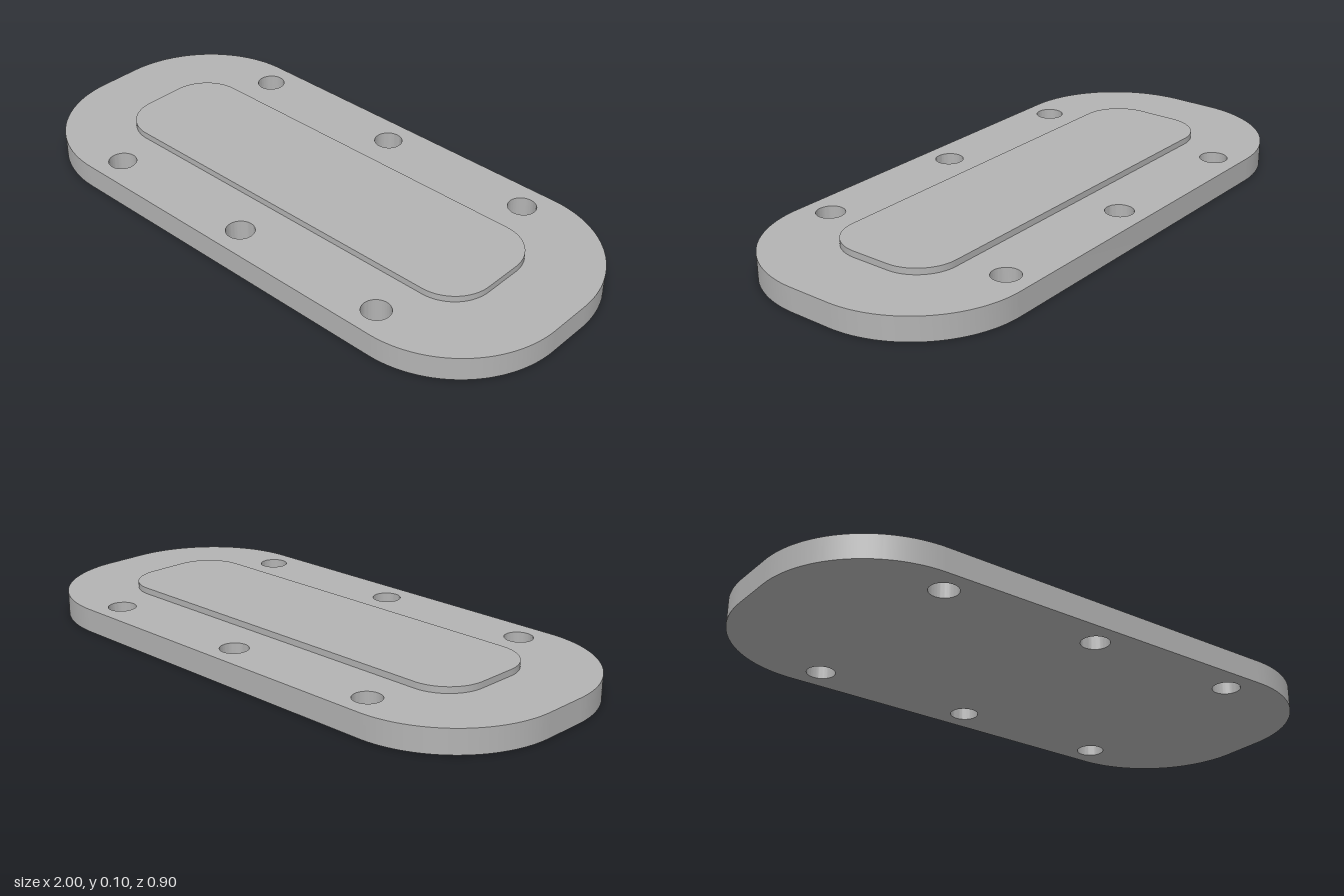
import * as THREE from 'three';
import { toCreasedNormals } from 'three/addons/utils/BufferGeometryUtils.js';

// Rectangle with rounded corners, centred on the origin; w and d are half sizes
function roundedRect(w, d, r) {
  const s = new THREE.Shape();
  s.absarc(w - r, d - r, r, 0, Math.PI / 2);
  s.absarc(-w + r, d - r, r, Math.PI / 2, Math.PI);
  s.absarc(-w + r, -d + r, r, Math.PI, Math.PI * 1.5);
  s.absarc(w - r, -d + r, r, Math.PI * 1.5, Math.PI * 2);
  s.closePath();
  return s;
}

// Lay a shape flat and raise it from y = bottom to y = top
function slab(name, shape, bottom, top, material) {
  const geo = new THREE.ExtrudeGeometry(shape, {
    depth: top - bottom, bevelEnabled: false, curveSegments: 32,
  });
  geo.rotateX(-Math.PI / 2);
  geo.translate(0, bottom, 0);
  const mesh = new THREE.Mesh(toCreasedNormals(geo, 0.6), material);
  mesh.name = name;
  return mesh;
}

export function createModel() {
  const group = new THREE.Group();
  group.name = 'coverPlate';
  const grey = new THREE.MeshStandardMaterial({ color: 0xb3b3b3 });
  grey.name = 'plain grey';

  // Base plate with two rows of three bolt holes
  const outline = roundedRect(1, 0.45, 0.378);
  for (const x of [-0.567, 0, 0.567]) {
    for (const z of [-0.354, 0.354]) {
      const hole = new THREE.Path();
      hole.absarc(x, z, 0.047, 0, Math.PI * 2, true);
      outline.holes.push(hole);
    }
  }
  group.add(slab('basePlate', outline, 0, 0.08, grey));

  // Raised panel in the middle, sunk slightly into the plate
  group.add(slab('raisedPanel', roundedRect(0.755, 0.207, 0.14), 0.07, 0.101, grey));

  return group;
}
